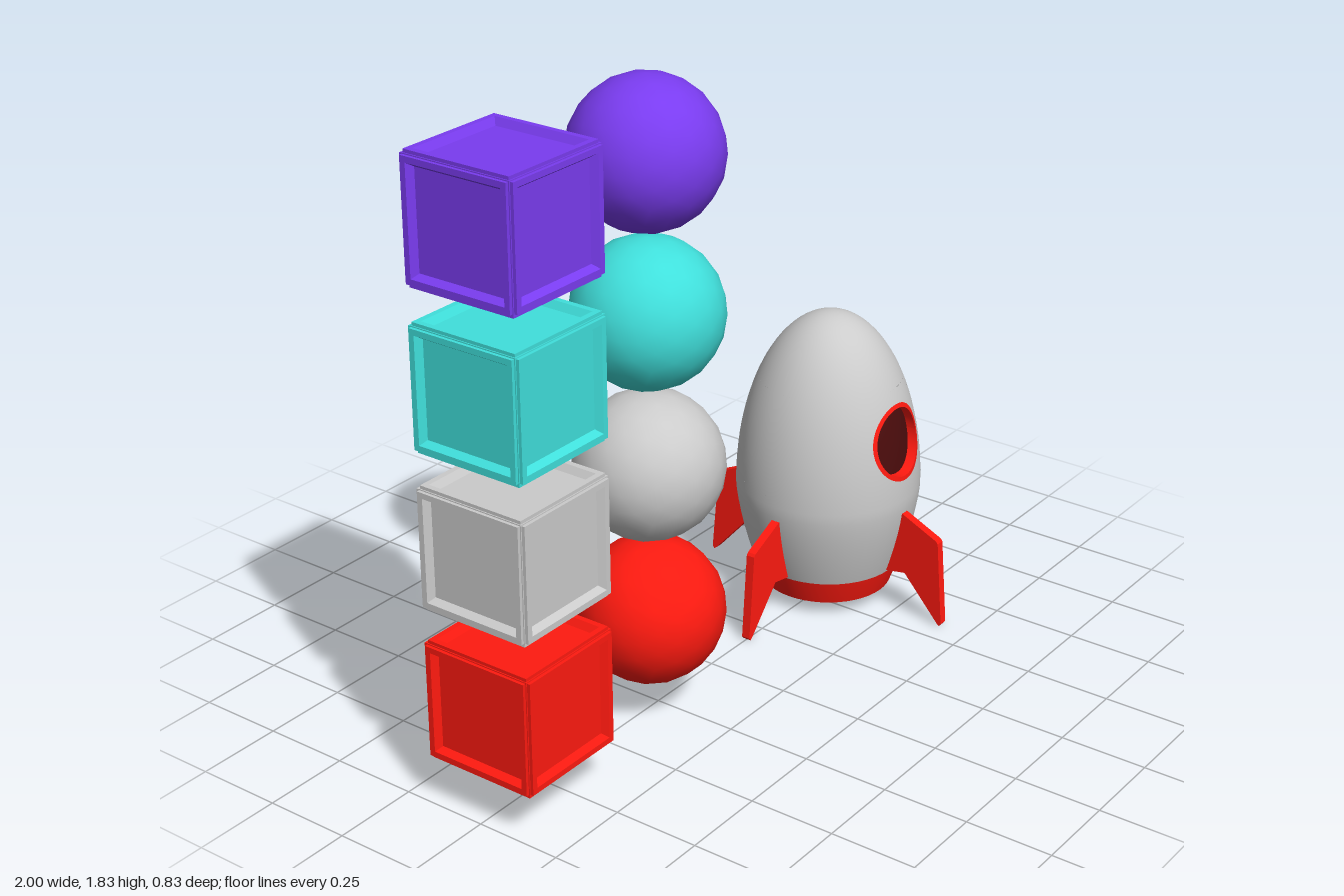
import * as THREE from 'three';

const RED = 0xff1a10, GREY = 0xcccccc, TEAL = 0x40e0dc, PURPLE = 0x7a3cf0;
const TAU = Math.PI * 2;

function mesh(name, geometry, color, options = {}) {
  const m = new THREE.Mesh(geometry, new THREE.MeshStandardMaterial({ color, ...options }));
  m.name = name;
  return m;
}

// Cube face: square lathe with a raised frame and a recessed panel
function cubeFace() {
  const profile = [[0.165, 0.165], [0.162, 0.165], [0.162, 0.174], [0.146, 0.174], [0.134, 0.155], [0, 0.155]];
  const points = profile.map(([r, y]) => new THREE.Vector2(r * Math.SQRT2, y));
  return new THREE.LatheGeometry(points, 4, Math.PI / 4);
}

function panelledCube(color) {
  const cube = new THREE.Group();
  cube.name = 'panelledCube';
  const face = cubeFace();
  for (let i = 0; i < 6; i++) {
    const side = mesh('cubeFace', face, color, { flatShading: true });
    if (i < 4) side.rotation.x = i * Math.PI / 2;
    else side.rotation.z = (i === 4 ? 1 : -1) * Math.PI / 2;
    cube.add(side);
  }
  return cube;
}

// Rocket hull: squared radius at height y (elliptical nose, tapering tail)
function radiusSq(y) {
  const d = y - 0.36;
  if (d > 0) return 0.273 ** 2 * (1 - (d / 0.536) ** 2);
  return (0.273 - 0.053 * (-d / 0.24) ** 1.5) ** 2;
}
const radius = (y) => Math.sqrt(Math.max(0, radiusSq(y)));

// Exact hull normals, so that separate hull pieces join without seams
function hullNormals(geometry) {
  const p = geometry.attributes.position, n = geometry.attributes.normal, v = new THREE.Vector3();
  for (let i = 0; i < p.count; i++) {
    const y = p.getY(i), e = 0.002;
    v.set(p.getX(i), -(radiusSq(y + e) - radiusSq(y - e)) / (4 * e), p.getZ(i)).normalize();
    n.setXYZ(i, v.x, v.y, v.z);
  }
  return geometry;
}

// Hull points between two heights, closer together towards y1
function hullPoints(y0, y1, steps, inset = 0) {
  return Array.from({ length: steps + 1 }, (_, i) => {
    const y = y0 + (y1 - y0) * Math.sin((i / steps) * Math.PI / 2);
    return new THREE.Vector2(Math.max(0, radius(y) - inset), y);
  });
}

// Surface from fn(u, v) -> [x, y, z]; u runs round the window, v outwards
function grid(fn, nu, nv) {
  const pos = [], index = [];
  for (let i = 0; i <= nu; i++) {
    for (let j = 0; j <= nv; j++) {
      pos.push(...fn(i / nu * TAU, j / nv));
      if (i < nu && j < nv) {
        const a = i * (nv + 1) + j, b = a + nv + 1;
        index.push(a, a + 1, b, b, a + 1, b + 1);
      }
    }
  }
  const g = new THREE.BufferGeometry();
  g.setAttribute('position', new THREE.Float32BufferAttribute(pos, 3));
  g.setIndex(index);
  g.computeVertexNormals();
  return g;
}

function rocket() {
  const group = new THREE.Group();
  group.name = 'rocket';
  const both = { side: THREE.DoubleSide };
  const base = 0.045, bandTop = 0.12, low = 0.4, high = 0.7, nose = 0.896, half = 0.6, wall = 0.035;
  const winY = 0.548, winR = 0.113, glassR = 0.1;
  const addLathe = (name, points, color, start = 0, length = TAU) => {
    const g = new THREE.LatheGeometry(points, 48, start, length);
    const m = mesh(name, g, color, both);
    group.add(m);
    return m;
  };

  // Outer hull, leaving a gap for the window section
  for (const [y0, y1, start] of [[bandTop, low, 0], [low, high, half], [high, nose, 0]]) {
    hullNormals(addLathe('hull', hullPoints(y0, y1, 14), GREY, start, TAU - 2 * start).geometry);
  }

  // Point on the hull's front, in window coordinates
  const onHull = (t, r, depth = 0) => {
    const x = r * Math.cos(t), y = winY + r * Math.sin(t);
    return [x, y, Math.sqrt(radiusSq(y) - x * x) - depth];
  };
  // Hull around the window: blends from the round hole to the rectangular gap
  const surround = grid((t, v) => {
    const c = Math.cos(t), s = Math.sin(t), k = Math.max(Math.abs(c), Math.abs(s));
    const [x, hy, z] = onHull(t, winR);
    const angle = THREE.MathUtils.lerp(Math.atan2(x, z), half * c / k, v);
    const y = THREE.MathUtils.lerp(hy, (low + high) / 2 + (high - low) / 2 * s / k, v);
    return [radius(y) * Math.sin(angle), y, radius(y) * Math.cos(angle)];
  }, 64, 8);
  group.add(mesh('windowSurround', hullNormals(surround), GREY, both));

  // Porthole: lip, recessed wall and dark pane
  group.add(mesh('windowRim', grid((t, v) => onHull(t, glassR + (winR - glassR) * v), 64, 1), RED, both));
  group.add(mesh('windowWall', grid((t, v) => onHull(t, glassR, 0.03 * (1 - v)), 64, 1), RED, both));
  group.add(mesh('windowPane', grid((t, v) => onHull(t, glassR * v, 0.03), 64, 6), 0x4a0c0c, both));

  // Tail band with its flat rim and inner wall
  hullNormals(addLathe('tailBand', hullPoints(base, bandTop, 4), RED).geometry);
  const rBase = radius(base), rTop = radius(bandTop);
  addLathe('tailRim', [new THREE.Vector2(rBase - wall, base), new THREE.Vector2(rBase, base)], RED);
  addLathe('tailInnerWall', [new THREE.Vector2(rTop - wall, bandTop), new THREE.Vector2(rBase - wall, base)], RED);

  // Hollow inside of the hull
  addLathe('hullInside', hullPoints(bandTop, nose - 0.004, 28, wall).reverse(), GREY);

  // Four swept fins
  const outline = [[0.215, 0.125], [0.285, 0.137], [0.402, 0.005], [0.409, 0], [0.415, 0.008],
    [0.394, 0.265], [0.388, 0.273], [0.272, 0.327], [0.25, 0.327]];
  const finShape = new THREE.Shape(outline.map(([x, y]) => new THREE.Vector2(x, y)));
  const finGeometry = new THREE.ExtrudeGeometry(finShape, { depth: 0.026, bevelEnabled: false });
  finGeometry.translate(0, 0, -0.013);
  for (let i = 0; i < 4; i++) {
    const fin = mesh('fin', finGeometry, RED);
    fin.rotation.y = i * Math.PI / 2;
    group.add(fin);
  }
  return group;
}

export function createModel() {
  const model = new THREE.Group();
  model.name = 'toyRocketSet';

  // Columns of floating cubes and balls, one colour per level
  const ballGeometry = new THREE.IcosahedronGeometry(0.208, 3);
  [RED, GREY, TEAL, PURPLE].forEach((color, i) => {
    const y = 0.31 + i * 0.437;
    const cube = panelledCube(color);
    cube.position.set(-0.828, y, 0);
    const ball = mesh('ball', ballGeometry, color);
    ball.position.set(-0.28, y, 0);
    model.add(cube, ball);
  });

  const ship = rocket();
  ship.position.x = 0.582;
  model.add(ship);
  return model;
}
